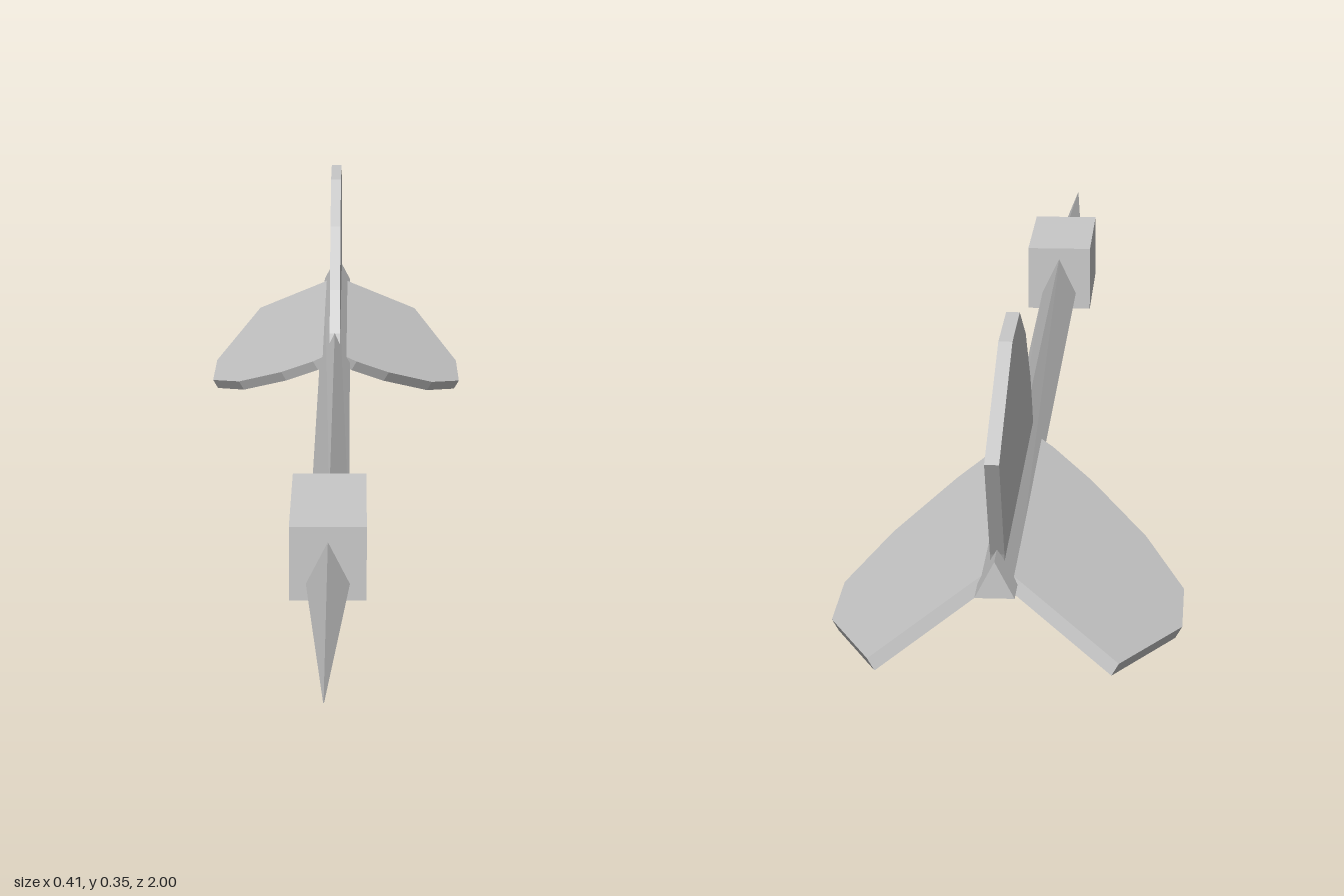
import * as THREE from 'three';

const AXIS_Y = 0.124;

// Triangular section, point up: [z, apex y, base y, half width]
function triangle([z, top, base, half]) {
  return [[0, top, z], [-half, base, z], [half, base, z]];
}

// Lofts triangular sections listed from front to back, with capped ends
function loftTriangles(sections) {
  const rings = sections.map(triangle);
  const pos = [];
  const face = (...pts) => pts.forEach((p) => pos.push(...p));
  for (let s = 0; s < rings.length - 1; s++) {
    const f = rings[s], b = rings[s + 1];
    for (let i = 0; i < 3; i++) {
      const j = (i + 1) % 3;
      face(f[i], b[i], b[j]);
      face(f[i], b[j], f[j]);
    }
  }
  const last = rings[rings.length - 1];
  face(...rings[0]);
  face(last[0], last[2], last[1]);
  const geo = new THREE.BufferGeometry();
  geo.setAttribute('position', new THREE.Float32BufferAttribute(pos, 3));
  geo.computeVertexNormals();
  return geo;
}

export function createModel() {
  const group = new THREE.Group();
  const grey = new THREE.MeshStandardMaterial({ color: 0xc8c8c8 });
  grey.name = 'grey';
  const add = (name, geometry) => {
    const mesh = new THREE.Mesh(geometry, grey);
    mesh.name = name;
    group.add(mesh);
    return mesh;
  };

  // Pointed tip
  add('tip', loftTriangles([
    [1, 0.1255, 0.1245, 0.0005],
    [0.56, 0.162, 0.106, 0.028],
  ]));

  // Square barrel
  add('barrel', new THREE.BoxGeometry(0.095, 0.095, 0.215)).position.set(0, 0.1325, 0.468);

  // Long shaft, tapering slightly to the back
  add('shaft', loftTriangles([
    [0.4, 0.163, 0.109, 0.026],
    [-0.97, 0.157, 0.115, 0.022],
  ]));

  // Three flights around the shaft; outline as distance back and radius
  const outline = [
    [0.415, 0], [0.427, 0.035], [0.47, 0.094], [0.56, 0.176], [0.666, 0.231],
    [0.79, 0.23], [1, 0.153], [0.927, 0.026], [0.915, 0],
  ];
  const shape = new THREE.Shape(outline.map(([u, r]) => new THREE.Vector2(u, r)));
  const thickness = 0.016;
  const finGeo = new THREE.ExtrudeGeometry(shape, { depth: thickness, bevelEnabled: false });
  finGeo.translate(0, 0, -thickness / 2);
  finGeo.rotateY(Math.PI / 2);
  ['topFlight', 'rightFlight', 'leftFlight'].forEach((name, i) => {
    const fin = add(name, finGeo);
    fin.position.y = AXIS_Y;
    fin.rotation.z = (i * Math.PI * 2) / 3;
  });

  return group;
}
